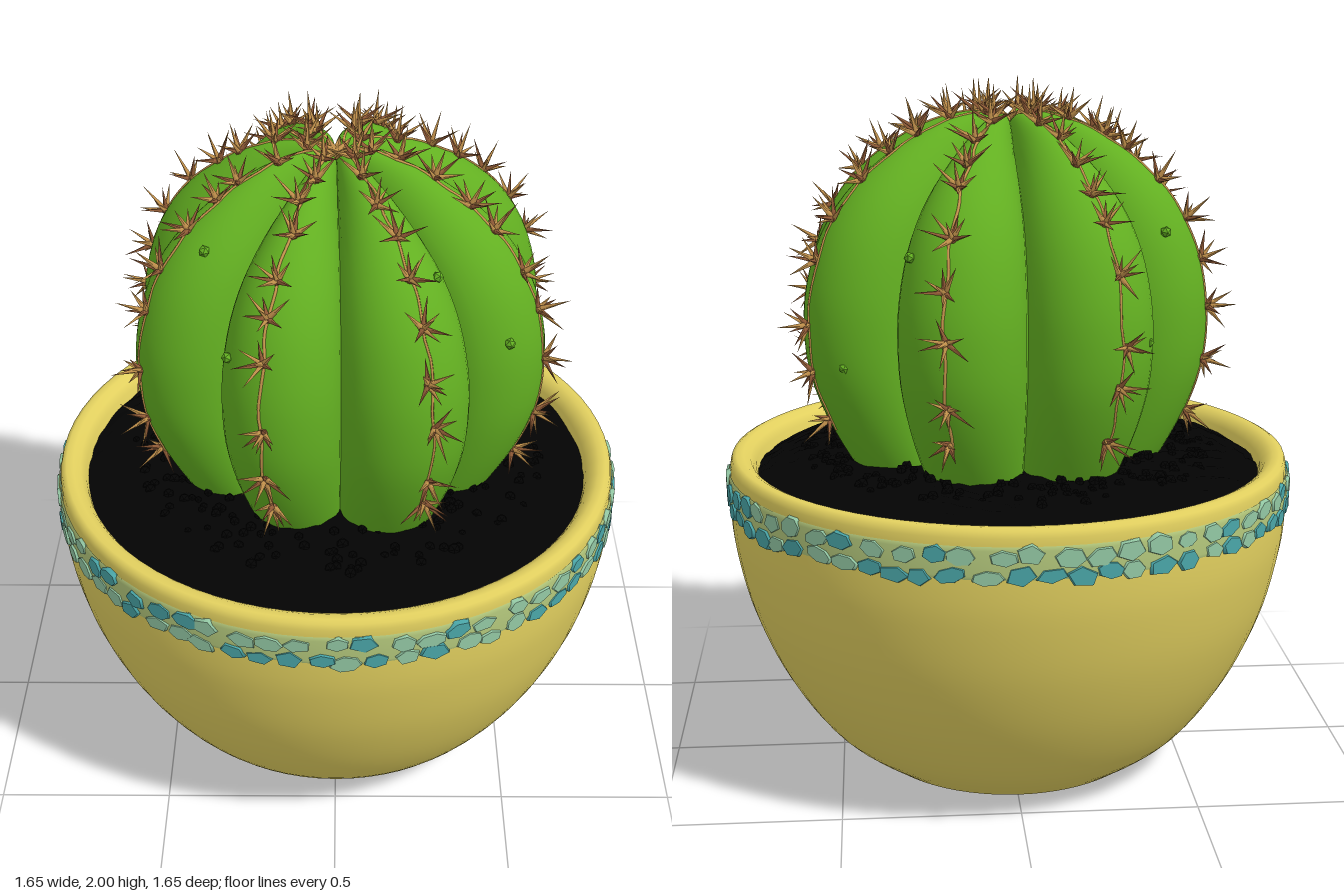
import * as THREE from 'three';
import { mergeGeometries } from 'three/addons/utils/BufferGeometryUtils.js';

const mat = (name, color) => Object.assign(new THREE.MeshStandardMaterial({ color }), { name });
const V2 = (x, y) => new THREE.Vector2(x, y);
const curve = (pts) => new THREE.SplineCurve(pts.map(([x, y]) => V2(x, y)));
const DEG = Math.PI / 180;

// Small seeded random number source
let seed = 7;
const rand = (a = 0, b = 1) => {
  seed = (seed * 16807) % 2147483647;
  return a + (b - a) * (seed / 2147483647);
};

// Rib ridge outline: radius as a fraction of the rib's reach, then height
const ridge = curve([[0.72, 0.9], [0.8, 0.97], [0.905, 1.09], [0.98, 1.22], [1, 1.35], [0.98, 1.47], [0.91, 1.6],
  [0.79, 1.71], [0.62, 1.8], [0.42, 1.87], [0.24, 1.905], [0.11, 1.91], [0, 1.87]]);
const ribReach = [0.61, 0.62, 0.6, 0.6, 0.565, 0.585, 0.575, 0.61];

// One rounded lobe of the cactus, facing +z
function ribGeometry(reach) {
  const half = 24 * DEG;
  const g = new THREE.LatheGeometry(ridge.getPoints(36), 20, -half, 2 * half);
  const p = g.attributes.position;
  for (let i = 0; i < p.count; i++) {
    const x = p.getX(i), z = p.getZ(i), r = Math.hypot(x, z);
    const a = Math.atan2(x, z), s = 0.71 * Math.sin(a);
    const f = 0.71 * Math.cos(a) + Math.sqrt(Math.max(0, 0.0841 - s * s));
    const dip = (1 - f) * 0.35 * Math.min(1, r * 3) * Math.max(0, Math.min(1, (p.getY(i) - 1.35) / 0.5));
    p.setXYZ(i, x * f * reach, p.getY(i) - dip, z * f * reach);
  }
  g.computeVertexNormals();
  return g;
}

// A thin spine from a base point along a direction
function spineGeometry(base, dir, length, radius = 0.009) {
  const g = new THREE.ConeGeometry(radius, length, 4, 1, true).translate(0, length / 2, 0);
  g.applyQuaternion(new THREE.Quaternion().setFromUnitVectors(new THREE.Vector3(0, 1, 0), dir.clone().normalize()));
  return g.translate(base.x, base.y, base.z).toNonIndexed();
}

// Spine clusters along one ridge, split into two colours
function ribSpines(reach) {
  const brown = [], tan = [];
  for (let i = 0; i < 10; i++) {
    const u = 0.14 + i * 0.086 + rand(-0.015, 0.015);
    const q = ridge.getPointAt(u), t = ridge.getTangentAt(u);
    const base = new THREE.Vector3(rand(-0.012, 0.012), q.y, q.x * reach);
    const n = new THREE.Vector3(0, -t.x, t.y).normalize();
    const along = new THREE.Vector3(0, t.y, t.x).normalize();
    const side = new THREE.Vector3(1, 0, 0);
    brown.push(new THREE.IcosahedronGeometry(0.014, 0).translate(base.x, base.y, base.z));
    tan.push(spineGeometry(base, n, rand(0.075, 0.1)));
    for (let k = 0; k < 6; k++) {
      const a = k * Math.PI / 3 + rand(-0.4, 0.4);
      const dir = n.clone().multiplyScalar(rand(0.35, 1.1))
        .addScaledVector(along, Math.cos(a)).addScaledVector(side, Math.sin(a));
      (k % 2 ? tan : brown).push(spineGeometry(base, dir, rand(0.055, 0.1)));
    }
  }
  return [mergeGeometries(brown), mergeGeometries(tan)];
}

export function createModel() {
  seed = 7;
  const model = new THREE.Group();
  const M = {
    pot: mat('ochre glaze', 0xe2d05f),
    soil: mat('black soil', 0x030303),
    green: mat('cactus green', 0x63b021),
    brown: mat('spine brown', 0x98603a),
    tan: mat('spine tan', 0xcb9850),
    teal: mat('teal stone', 0x4aa6a8),
    aqua: mat('pale aqua stone', 0x93c8a4),
    grout: mat('pale green grout', 0xb4c87c),
  };
  const add = (parent, name, geometry, material) => {
    const m = new THREE.Mesh(geometry, material);
    m.name = name;
    parent.add(m);
    return m;
  };

  // Bowl with flat foot, rounded rim and inner wall
  const wall = curve([[0.41, 0.02], [0.55, 0.13], [0.67, 0.3], [0.755, 0.49], [0.8, 0.67], [0.812, 0.8], [0.808, 0.92]]).getPoints(30);
  const potProfile = [V2(0, 0.008), V2(0.375, 0.008), V2(0.39, 0.011), ...wall,
    V2(0.803, 0.937), V2(0.79, 0.944), V2(0.77, 0.943), V2(0.75, 0.932), V2(0.735, 0.91), V2(0.72, 0.85)];
  add(model, 'pot', new THREE.LatheGeometry(potProfile, 72), M.pot);

  // Soil bed, gently domed and rough
  const bed = new THREE.LatheGeometry(curve([[0.735, 0.885], [0.65, 0.925], [0.55, 0.95], [0.4, 0.965], [0.2, 0.97], [0, 0.97]]).getPoints(28), 90);
  const bp = bed.attributes.position;
  for (let i = 0; i < bp.count; i++) {
    const x = bp.getX(i), z = bp.getZ(i);
    bp.setY(i, bp.getY(i) + 0.006 * Math.sin(x * 71 + z * 23) * Math.sin(z * 67 - x * 31));
  }
  bed.computeVertexNormals();
  add(model, 'soil', bed, M.soil);
  const crumbs = [];
  for (let i = 0; i < 300; i++) {
    const a = rand(0, 2 * Math.PI), r = rand(0.4, 0.6);
    crumbs.push(new THREE.IcosahedronGeometry(rand(0.01, 0.018), 0)
      .translate(r * Math.cos(a), 0.968 - Math.max(0, r - 0.45) * 0.2, r * Math.sin(a)));
  }
  add(model, 'soilCrumbs', mergeGeometries(crumbs), M.soil);

  // Mosaic band of irregular, closely set stones below the rim
  const band = new THREE.Group();
  band.name = 'mosaicBand';
  model.add(band);
  add(band, 'grout', new THREE.LatheGeometry([V2(0.813, 0.812), V2(0.816, 0.822), V2(0.816, 0.89), V2(0.811, 0.9)], 72), M.grout);
  const stones = { teal: [], aqua: [] };
  [[0.872, 60, 0.029, 0.75], [0.819, 64, 0.028, 0.35]].forEach(([y, count, h, paleShare], row) => {
    for (let i = 0; i < count; i++) {
      const a = (i + row * 0.5 + rand(-0.2, 0.2)) / count * 2 * Math.PI;
      const g = new THREE.CylinderGeometry(0.85, 1, 0.016, 5 + Math.floor(rand(0, 3)));
      g.rotateY(rand(0, 6)).rotateX(Math.PI / 2);
      g.scale(rand(0.036, 0.05), h * rand(0.8, 1.15), 1).rotateZ(rand(-0.25, 0.25));
      g.translate(0, y + rand(-0.008, 0.008), 0.813 + rand(-0.003, 0.002)).rotateY(a);
      stones[rand() < paleShare ? 'aqua' : 'teal'].push(g.toNonIndexed());
    }
  });
  for (const k of ['teal', 'aqua']) add(band, k + 'Stones', mergeGeometries(stones[k]), M[k]);

  // Cactus: eight ribs, each with a ridge cord and spine clusters
  const cactus = new THREE.Group();
  cactus.name = 'cactus';
  model.add(cactus);
  ribReach.forEach((reach, k) => {
    const rib = new THREE.Group();
    rib.name = 'rib' + (k + 1);
    rib.rotation.y = (160 - 45 * k) * DEG;
    cactus.add(rib);
    add(rib, 'lobe', ribGeometry(reach), M.green);
    const cord = ridge.getSpacedPoints(24).slice(3, 24)
      .map((q, i) => new THREE.Vector3(0.005 * Math.sin(i * 2.1), q.y, q.x * reach));
    add(rib, 'ridgeCord', new THREE.TubeGeometry(new THREE.CatmullRomCurve3(cord), 44, 0.004, 5), M.tan);
    const [brown, tan] = ribSpines(reach);
    add(rib, 'brownSpines', brown, M.brown);
    add(rib, 'tanSpines', tan, M.tan);
    // Little green bud on the flank of the rib
    const q = ridge.getPointAt(rand(0.25, 0.6)), a = (k % 2 ? 11 : -13) * DEG, r = q.x * reach * 0.94;
    add(rib, 'bud', new THREE.IcosahedronGeometry(0.016, 0).translate(r * Math.sin(a), q.y, r * Math.cos(a)), M.green);
  });

  // Crown tuft at the apex
  const tuft = [], crown = new THREE.Vector3(0, 1.88, 0);
  for (let i = 0; i < 9; i++) {
    const a = i / 9 * 2 * Math.PI;
    tuft.push(spineGeometry(crown, new THREE.Vector3(Math.cos(a), rand(0.4, 1), Math.sin(a)), rand(0.06, 0.08), 0.018));
  }
  add(cactus, 'crownTuft', mergeGeometries(tuft), M.tan);
  return model;
}
